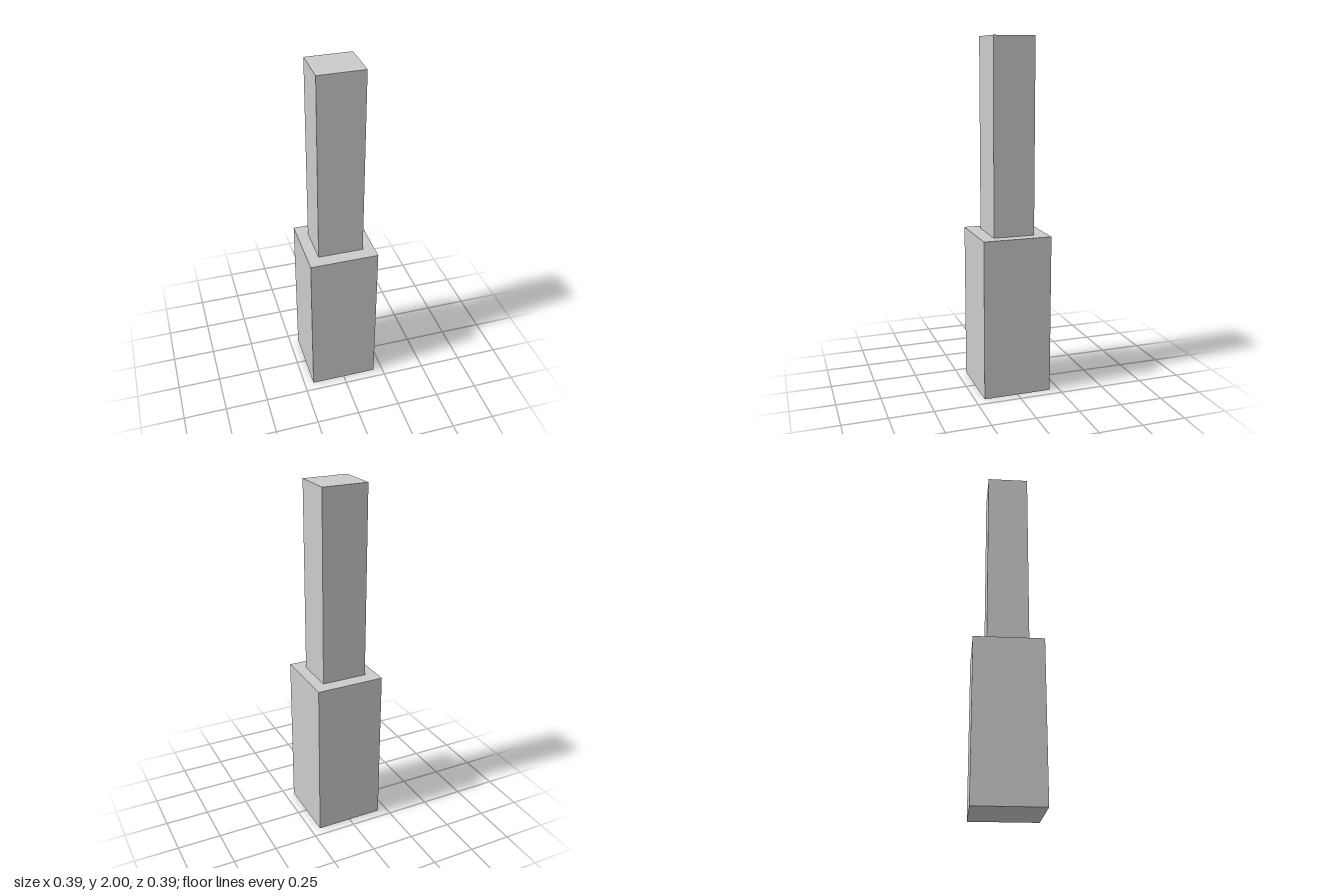
import * as THREE from 'three';

export function createModel() {
  const group = new THREE.Group();
  const material = new THREE.MeshStandardMaterial({ color: 0xcccccc, flatShading: true });

  // Adds an upright block whose underside sits at the given height
  const addBlock = (name, width, height, depth, bottom) => {
    const mesh = new THREE.Mesh(new THREE.BoxGeometry(width, height, depth), material);
    mesh.name = name;
    mesh.position.y = bottom + height / 2;
    group.add(mesh);
  };

  const baseHeight = 0.912;
  addBlock('base', 0.392, baseHeight, 0.392, 0); // wide square lower block
  addBlock('shaft', 0.26, 2 - baseHeight, 0.235, baseHeight); // narrower upper block

  return group;
}
